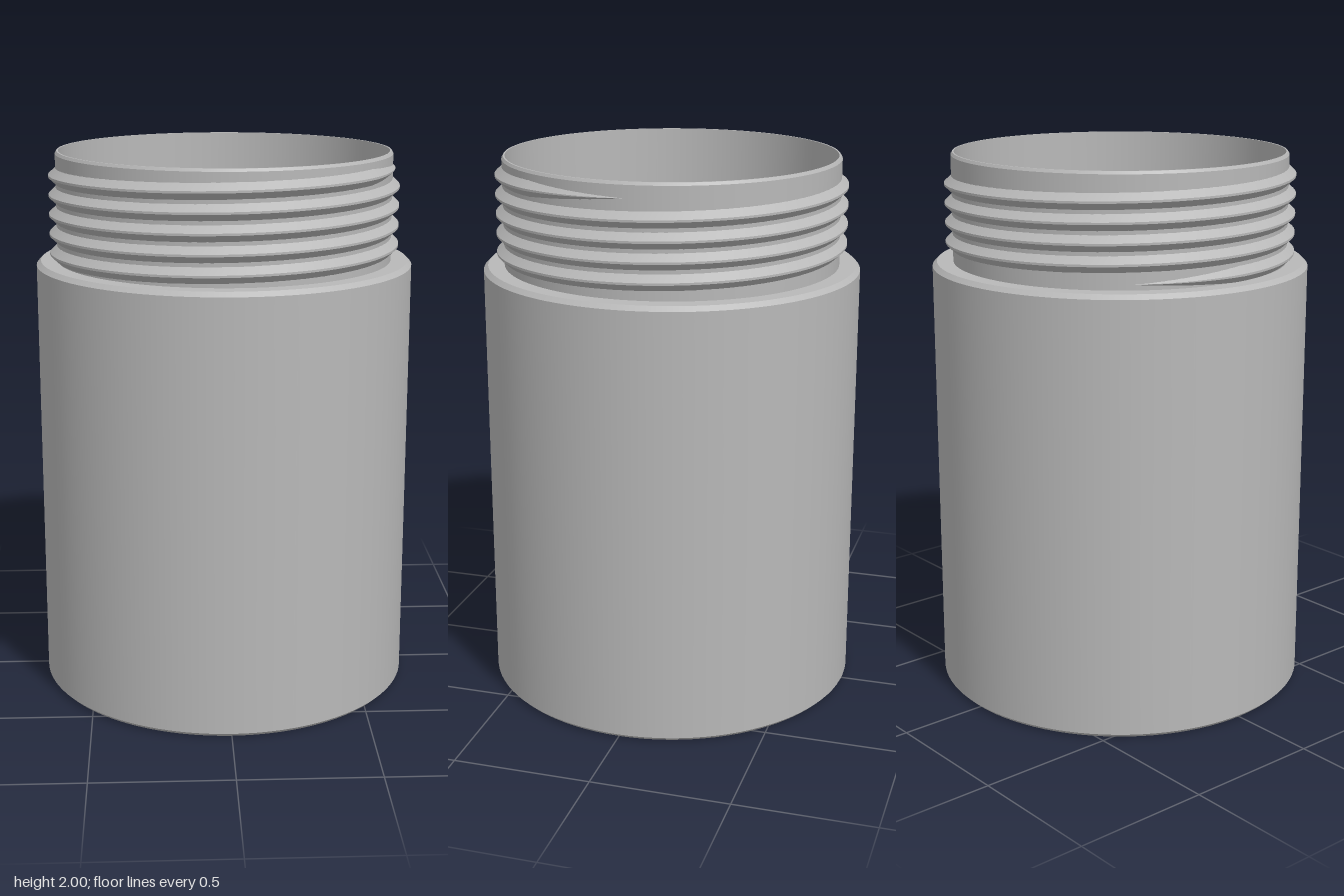
import * as THREE from 'three';
import { mergeGeometries } from 'three/addons/utils/BufferGeometryUtils.js';

const SEGMENTS = 96;

// Revolves each profile segment on its own so that the edges stay sharp.
function sharpLathe(profile) {
  const bands = [];
  for (let i = 0; i < profile.length - 1; i++) {
    const pair = [profile[i], profile[i + 1]].map(([r, y]) => new THREE.Vector2(r, y));
    bands.push(new THREE.LatheGeometry(pair, SEGMENTS));
  }
  return mergeGeometries(bands);
}

// Sweeps a ridge section, given as [height above root, y offset], up a right-hand helix.
function helicalRidge({ section, root, pitch, turns, topY }) {
  const steps = Math.round(turns * SEGMENTS);
  const strips = [];
  for (let s = 0; s < section.length - 1; s++) {
    const positions = [];
    const index = [];
    for (let i = 0; i <= steps; i++) {
      const turn = i / SEGMENTS - turns;
      const angle = turn * Math.PI * 2;
      // The ridge fades out over a short run at both ends.
      const fade = Math.min(1, i / 10, (steps - i) / 10);
      for (const [height, offset] of [section[s], section[s + 1]]) {
        const r = root + height * fade;
        positions.push(r * Math.cos(angle), topY + turn * pitch + offset * fade, -r * Math.sin(angle));
      }
      if (i < steps) {
        const a = i * 2;
        index.push(a, a + 2, a + 3, a, a + 3, a + 1);
      }
    }
    const strip = new THREE.BufferGeometry();
    strip.setAttribute('position', new THREE.Float32BufferAttribute(positions, 3));
    strip.setIndex(index);
    strip.computeVertexNormals();
    strips.push(strip);
  }
  return mergeGeometries(strips);
}

export function createModel() {
  const model = new THREE.Group();
  model.name = 'threadedSleeve';
  const metal = new THREE.MeshStandardMaterial({ color: 0xb8b8b8 });
  metal.name = 'grey metal';

  // Hollow body with chamfered ends, a shoulder and a thin neck
  const sleeve = new THREE.Mesh(sharpLathe([
    [0.6, 0.012],
    [0.61, 0],
    [0.674, 0],
    [0.688, 0.014],
    [0.688, 1.588],
    [0.672, 1.604],
    [0.612, 1.604],
    [0.612, 1.99],
    [0.606, 2],
    [0.6, 2],
    [0.6, 0.012],
  ]), metal);
  sleeve.name = 'sleeve';

  // Screw thread around the neck
  const thread = new THREE.Mesh(helicalRidge({
    section: [[-0.001, -0.029], [0.026, -0.004], [0.026, 0.004], [-0.001, 0.029]],
    root: 0.612,
    pitch: 0.07,
    turns: 4.6,
    topY: 1.945,
  }), metal);
  thread.name = 'screwThread';

  model.add(sleeve, thread);
  return model;
}
